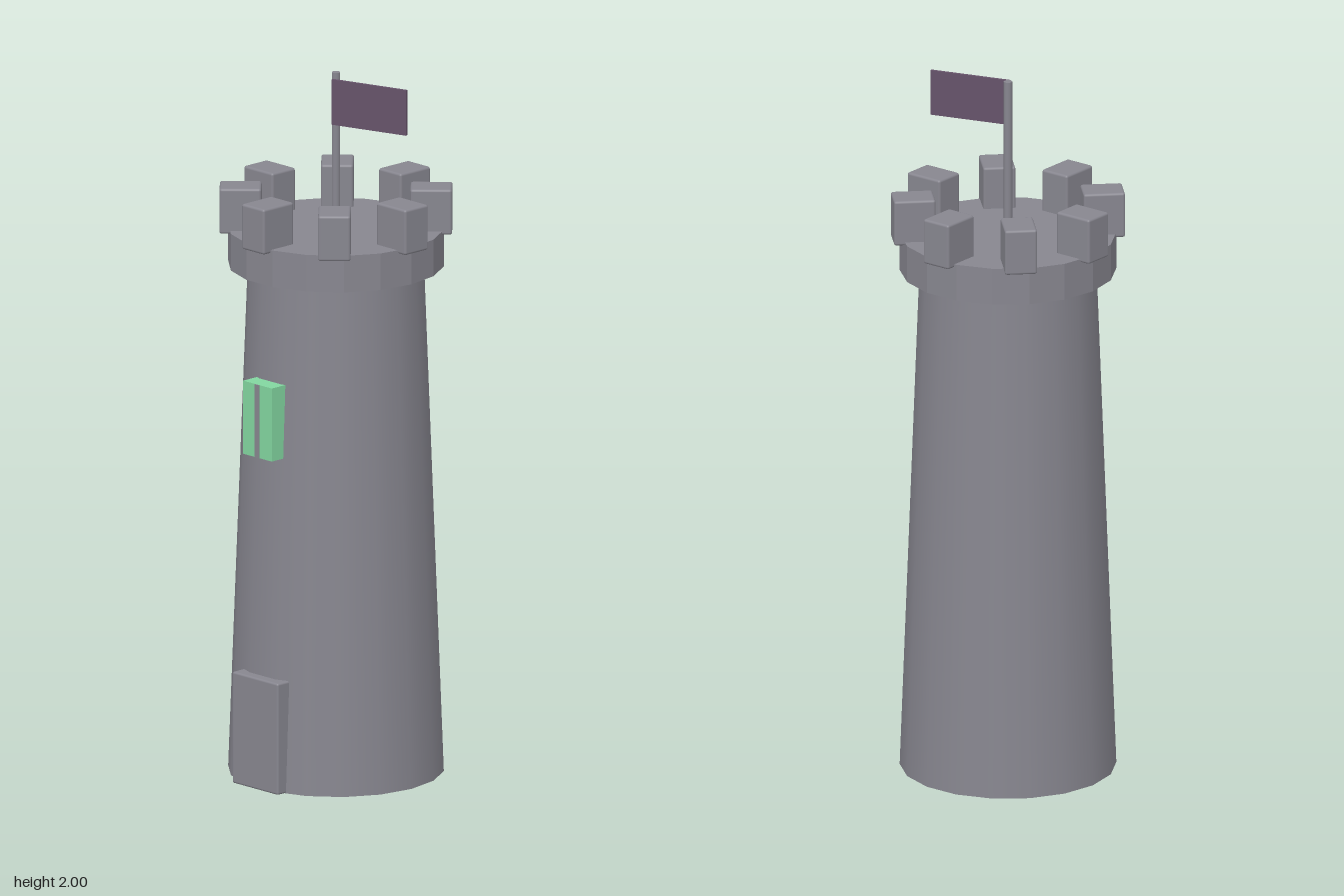
import * as THREE from 'three';
import { RoundedBoxGeometry } from 'three/addons/geometries/RoundedBoxGeometry.js';

export function createModel() {
  const tower = new THREE.Group();
  tower.name = 'tower';

  const material = (name, color, flatShading = false) => {
    const m = new THREE.MeshStandardMaterial({ color, flatShading });
    m.name = name;
    return m;
  };
  const stone = material('stone', 0x87868f);
  const glass = material('greenGlass', 0x82d6a0);
  const cloth = material('purpleCloth', 0x66536a);

  const add = (name, geometry, mat, x, y, z, parent = tower) => {
    const mesh = new THREE.Mesh(geometry, mat);
    mesh.name = name;
    mesh.position.set(x, y, z);
    parent.add(mesh);
    return mesh;
  };

  // Tapered shaft, smooth around its 18 sides
  const sides = 18, turn = Math.PI / sides;
  add('shaft', new THREE.CylinderGeometry(0.245, 0.3, 1.46, sides, 1, false, turn), stone, 0, 0.73, 0);

  // Faceted platform: split vertices give each side its own flat normal
  const deck = new THREE.CylinderGeometry(0.3, 0.3, 0.105, sides, 1, false, turn).toNonIndexed();
  deck.computeVertexNormals();
  add('platform', deck, stone, 0, 1.5025, 0);

  // Ring of eight battlement blocks
  const block = new RoundedBoxGeometry(0.09, 0.13, 0.116, 2, 0.007);
  for (let i = 0; i < 8; i++) {
    const a = (i * Math.PI) / 4;
    const merlon = add('battlement', block, stone, Math.sin(a) * 0.264, 1.61, Math.cos(a) * 0.264);
    merlon.rotation.y = a;
  }

  // Door slab
  add('door', new RoundedBoxGeometry(0.182, 0.32, 0.07, 2, 0.006), stone, 0, 0.16, 0.278);

  // Window with a thin central bar
  add('window', new THREE.BoxGeometry(0.114, 0.21, 0.08), glass, -0.002, 1.055, 0.261);
  add('windowBar', new THREE.BoxGeometry(0.017, 0.21, 0.004), stone, -0.002, 1.055, 0.302);

  // Flagpole and flag
  add('flagpole', new THREE.CylinderGeometry(0.012, 0.012, 0.46, 12), stone, 0, 1.77, 0);
  const flag = add('flag', new THREE.BoxGeometry(0.235, 0.13, 0.008), cloth, 0.132, 1.925, -0.001);
  flag.rotation.y = 0.295;

  return tower;
}
